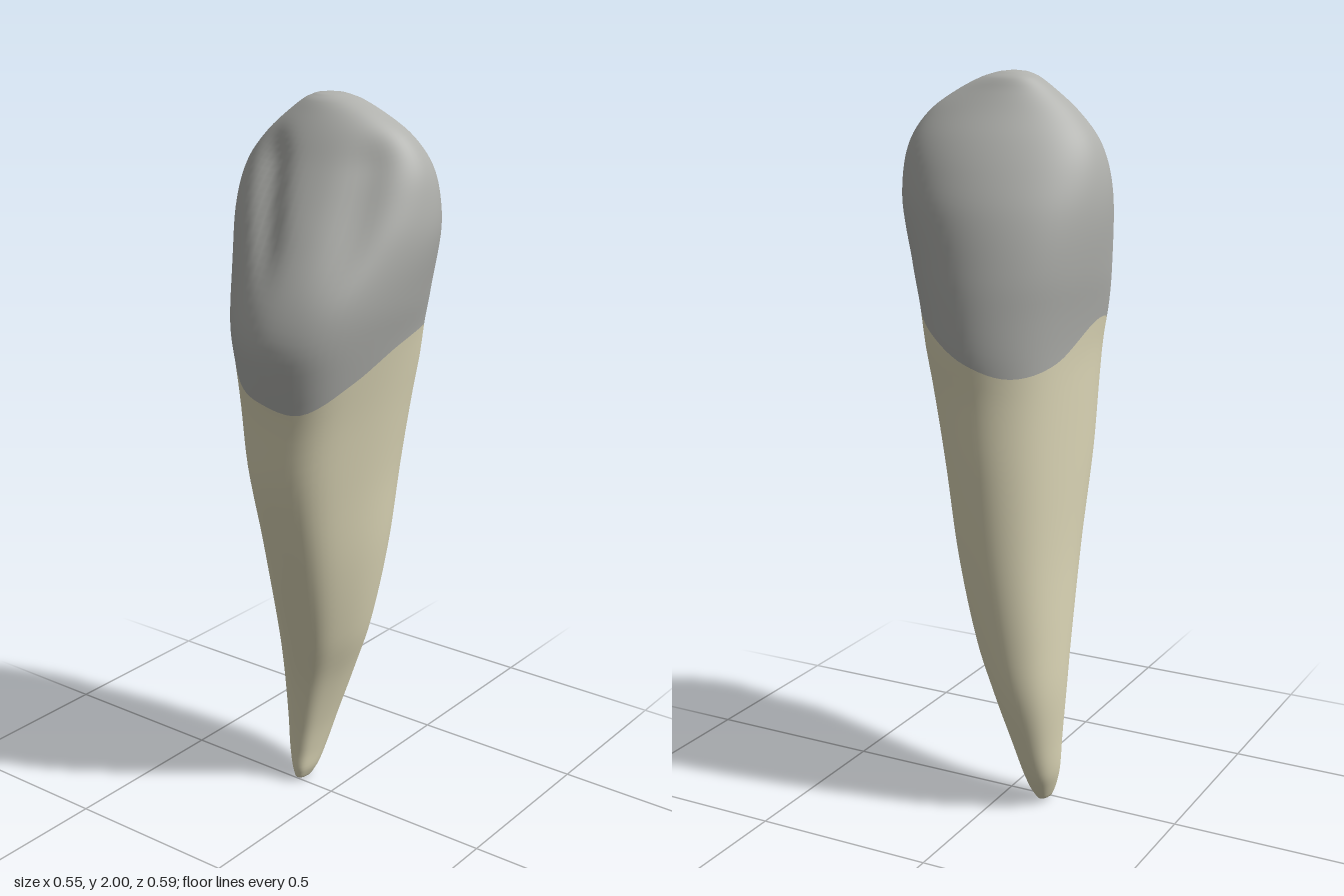
import * as THREE from 'three';

// Outline by height: [y, xMin, xMax, zBack, zFront]
const outline = [
  [0, -0.115, -0.115, -0.02, -0.02],
  [0.012, -0.135, -0.098, -0.055, 0.014],
  [0.04, -0.147, -0.084, -0.075, 0.021],
  [0.1, -0.165, -0.07, -0.11, 0.022],
  [0.2, -0.176, -0.045, -0.147, 0.03],
  [0.35, -0.19, 0.002, -0.193, 0.056],
  [0.5, -0.196, 0.055, -0.22, 0.1],
  [0.75, -0.204, 0.112, -0.253, 0.18],
  [1.0, -0.219, 0.15, -0.275, 0.248],
  [1.2, -0.23, 0.185, -0.284, 0.27],
  [1.3, -0.236, 0.205, -0.294, 0.288],
  [1.4, -0.25, 0.226, -0.291, 0.298],
  [1.5, -0.265, 0.25, -0.28, 0.272],
  [1.65, -0.276, 0.274, -0.25, 0.204],
  [1.75, -0.266, 0.268, -0.214, 0.155],
  [1.83, -0.236, 0.245, -0.176, 0.115],
  [1.9, -0.18, 0.195, -0.133, 0.08],
  [1.95, -0.125, 0.125, -0.1, 0.05],
  [1.985, -0.08, 0.055, -0.075, 0.024],
  [1.996, -0.055, 0.018, -0.055, 0.006],
  [2, -0.02, -0.02, -0.025, -0.025],
];
// Height of the gum line every 30 degrees, from +x towards +z
const gumLine = [1.385, 1.305, 1.23, 1.25, 1.285, 1.35, 1.37, 1.28, 1.25, 1.285, 1.35, 1.4];

const SIDES = 72, ROOT_ROWS = 48, CROWN_ROWS = 44;
const bell = (v, centre, width) => Math.exp(-(((v - centre) / width) ** 2));
const smooth = THREE.MathUtils.smoothstep;

// Cubic between two values; m1 and m2 are the end slopes
function hermite(p1, p2, m1, m2, t) {
  const t2 = t * t, t3 = t2 * t;
  return (2 * t3 - 3 * t2 + 1) * p1 + (t3 - 2 * t2 + t) * m1 + (3 * t2 - 2 * t3) * p2 + (t3 - t2) * m2;
}

function gumHeight(angle) {
  const f = (angle / (Math.PI * 2)) * 12, i = Math.floor(f);
  const g = (k) => gumLine[(k + 12) % 12];
  return hermite(g(i), g(i + 1), (g(i + 1) - g(i - 1)) / 2, (g(i + 2) - g(i)) / 2, f - i);
}

function extents(y) {
  const last = outline.length - 1;
  let i = 0;
  while (i < last - 1 && y > outline[i + 1][0]) i++;
  const a = outline[i], b = outline[i + 1], h = b[0] - a[0], t = (y - a[0]) / h;
  // straight at the rounded tips, smooth elsewhere
  const slope = (j, c) => {
    const p = outline[j - 1], q = outline[j + 1];
    return ((q[c] - p[c]) / (q[0] - p[0])) * h;
  };
  return [1, 2, 3, 4].map((c) => (i < 2 || i > last - 3)
    ? THREE.MathUtils.lerp(a[c], b[c], t)
    : hermite(a[c], b[c], slope(i, c), slope(i + 1, c), t));
}

function surfacePoint(angle, y) {
  const [x0, x1, z0, z1] = extents(y);
  const a = (x1 - x0) / 2, half = (z1 - z0) / 2;
  // the biting edge runs slightly diagonally, so upper sections are sheared
  const shear = 0.2 * smooth(y, 1.45, 1.95);
  const b = Math.sqrt(half * half - (shear * a) ** 2);
  // full front corner, flatter opposite corner, shallow root hollow
  const deg = THREE.MathUtils.radToDeg(angle);
  const low = 1 - smooth(y, 1.5, 1.75);
  const mid = smooth(y, 0.15, 0.5) * (1 - smooth(y, 0.8, 1.25));
  const r = 1 + low * (0.06 * bell(deg, 50, 20) + 0.02 * bell(deg, 225, 20))
    - (0.05 * low + 0.045 * mid) * bell(deg, 125, 24)
    - 0.03 * mid * bell(deg, 325, 14);
  const dx = a * r * Math.cos(angle);
  const x = (x0 + x1) / 2 + dx;
  let z = (z0 + z1) / 2 + b * r * Math.sin(angle) - shear * dx;
  // grooves on the inner face of the crown
  const front = Math.max(0, Math.sin(angle));
  const fade = smooth(y, 1.48, 1.7) * (1 - smooth(y, 1.82, 1.95));
  const lean = (1.75 - y) * 0.25;
  z -= front * fade * (0.026 * bell(x, -0.085 + lean, 0.045) + 0.022 * bell(x, 0.16 + lean * 0.3, 0.05));
  return [x, y, z];
}

export function createModel() {
  const rows = ROOT_ROWS + CROWN_ROWS;
  const positions = [];
  for (let j = 0; j <= rows; j++) {
    for (let i = 0; i < SIDES; i++) {
      const angle = (i / SIDES) * Math.PI * 2, gum = gumHeight(angle);
      const y = j <= ROOT_ROWS
        ? gum * (1 - Math.cos((j / ROOT_ROWS) * Math.PI / 2))
        : gum + (2 - gum) * Math.sin(((j - ROOT_ROWS) / CROWN_ROWS) * Math.PI / 2);
      positions.push(...surfacePoint(angle, y));
    }
  }
  const faces = (from, to) => {
    const index = [];
    for (let j = from; j < to; j++) {
      for (let i = 0; i < SIDES; i++) {
        const n = (i + 1) % SIDES;
        const p = j * SIDES + i, q = j * SIDES + n;
        index.push(p, p + SIDES, q, q, p + SIDES, q + SIDES);
      }
    }
    return index;
  };

  // Normals come from the whole tooth so the gum line stays smooth
  const whole = new THREE.BufferGeometry();
  whole.setAttribute('position', new THREE.Float32BufferAttribute(positions, 3));
  whole.setIndex(faces(0, rows));
  whole.computeVertexNormals();

  const group = new THREE.Group();
  group.name = 'tooth';
  const addPart = (name, colourName, color, from, to) => {
    const geometry = new THREE.BufferGeometry();
    geometry.setAttribute('position', whole.getAttribute('position'));
    geometry.setAttribute('normal', whole.getAttribute('normal'));
    geometry.setIndex(faces(from, to));
    const material = new THREE.MeshStandardMaterial({ color });
    material.name = colourName;
    const mesh = new THREE.Mesh(geometry, material);
    mesh.name = name;
    group.add(mesh);
  };
  addPart('root', 'ivory', 0xdfd9b9, 0, ROOT_ROWS);
  addPart('crown', 'enamelGrey', 0xb0b1ad, ROOT_ROWS, rows);
  return group;
}
